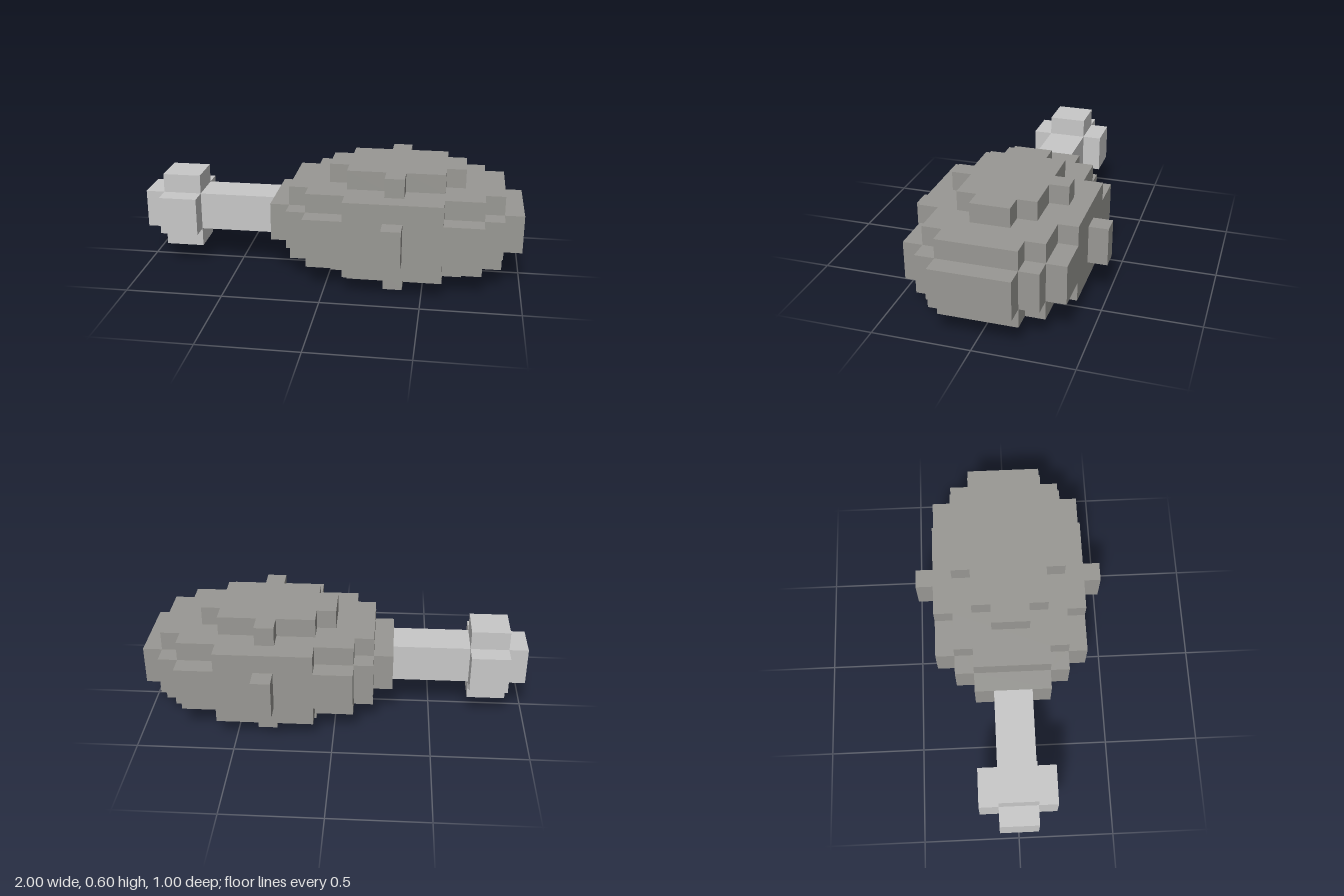
import * as THREE from 'three';

// Stepped slab between two heights. Rows run from the middle outwards:
// [half depth in z, left x, right x]; the slab is mirrored in z.
function steppedSlab(rows, bottom, top) {
  const right = [], left = [];
  let previous = 0;
  for (const [half, x0, x1] of rows) {
    if (previous > 0) {
      right.push([x1, previous]);
      left.push([x0, previous]);
    }
    right.push([x1, half]);
    left.push([x0, half]);
    previous = half;
  }
  const upper = [...right, ...left.reverse()];
  const lower = upper.map(([x, z]) => [x, -z]).reverse();
  const shape = new THREE.Shape([...upper, ...lower].map(([x, z]) => new THREE.Vector2(x, z)));
  const geometry = new THREE.ExtrudeGeometry(shape, { depth: top - bottom, bevelEnabled: false });
  geometry.rotateX(-Math.PI / 2);
  geometry.translate(0, bottom, 0);
  return geometry;
}

export function createModel() {
  const model = new THREE.Group();
  model.name = 'drumstick';

  const meat = new THREE.MeshStandardMaterial({ color: 0x999894 });
  meat.name = 'meat grey';
  const bone = new THREE.MeshStandardMaterial({ color: 0xc8c8c8 });
  bone.name = 'bone grey';

  const add = (name, material, rows, bottom, top) => {
    const mesh = new THREE.Mesh(steppedSlab(rows, bottom, top), material);
    mesh.name = name;
    model.add(mesh);
  };

  // Meat: a wide middle with matching narrower layers above and below
  const middle = [[0.2, -0.3, 1], [0.3, -0.2, 0.9], [0.4, -0.1, 0.8], [0.5, 0.3, 0.4]];
  const shoulder = [[0.2, -0.2, 0.9], [0.3, -0.1, 0.8], [0.4, 0.1, 0.6]];
  const crown = [[0.1, 0, 0.7], [0.2, 0.1, 0.6], [0.3, 0.3, 0.4]];
  add('meatMiddle', meat, middle, 0.2, 0.4);
  add('meatUpperShoulder', meat, shoulder, 0.4, 0.5);
  add('meatLowerShoulder', meat, shoulder, 0.1, 0.2);
  add('meatTop', meat, crown, 0.5, 0.6);
  add('meatBottom', meat, crown, 0, 0.1);

  // Bone: shaft with side knobs, then knobs above and below
  add('boneShaft', bone, [[0.1, -1, -0.3], [0.2, -0.9, -0.7]], 0.2, 0.4);
  add('boneUpperKnob', bone, [[0.1, -0.9, -0.7]], 0.4, 0.5);
  add('boneLowerKnob', bone, [[0.1, -0.9, -0.7]], 0.1, 0.2);

  return model;
}
